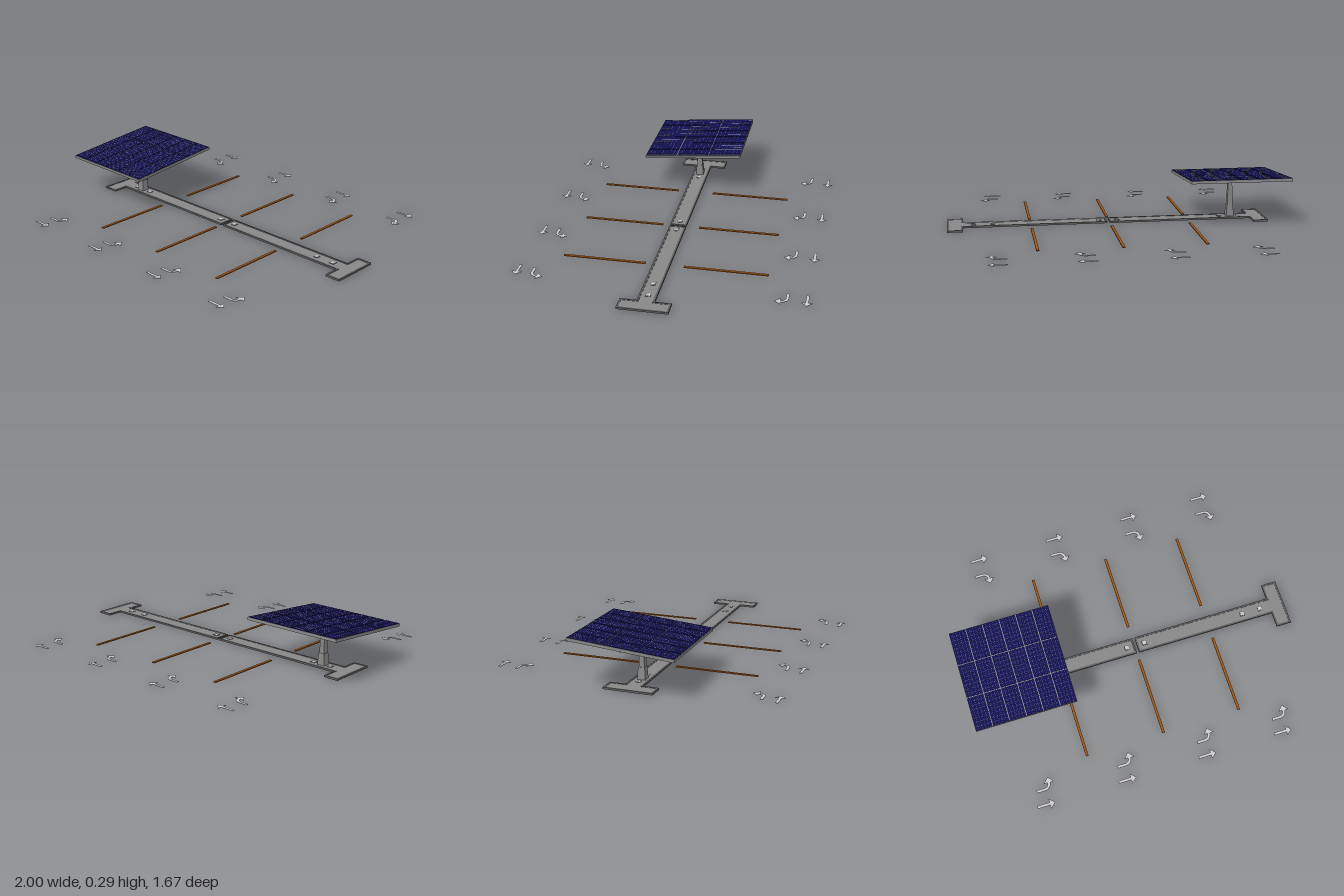
import * as THREE from 'three';
import { mergeGeometries } from 'three/addons/utils/BufferGeometryUtils.js';

const paint = (color) => new THREE.MeshStandardMaterial({ color });
const GREY = paint(0xcccccc), CONCRETE = paint(0x888888), CURB = paint(0x606060);
const BLUE = paint(0x12104e), CELL_LINE = paint(0x8c8c9c), BROWN = paint(0x9a5518);

function add(parent, name, geometry, material) {
  const mesh = new THREE.Mesh(geometry, material);
  mesh.name = name;
  parent.add(mesh);
  return mesh;
}

function box(w, h, d, x, y, z) {
  return new THREE.BoxGeometry(w, h, d).translate(x, y, z);
}

// Flat slab from an outline of [x, z] points, lying on the ground
const toPoints = (pts) => pts.map(([x, z]) => new THREE.Vector2(x, -z));
function slab(pts, height, holePts) {
  const shape = new THREE.Shape(toPoints(pts));
  if (holePts) shape.holes.push(new THREE.Path(toPoints(holePts)));
  return new THREE.ExtrudeGeometry(shape, { depth: height, bevelEnabled: false }).rotateX(-Math.PI / 2);
}

// Square beam between two points
function beam(a, b, w, h) {
  const dir = b.clone().sub(a);
  const g = new THREE.BoxGeometry(w, h, dir.length());
  const m = new THREE.Matrix4().lookAt(b, a, new THREE.Vector3(0, 1, 0));
  const mid = a.clone().add(b).multiplyScalar(0.5);
  return g.applyMatrix4(m.setPosition(mid));
}

// T-shaped outline of half an island, shrunk by an inset; s = 1 right, -1 left
const MID_X = 0.0475, MID_Z = 0.027;
function halfIsland(s, i) {
  const stem = 0.049 - i, bar = 0.141 - i;
  return [[0.007 + i, -stem], [0.861 + i, -stem], [0.861 + i, -bar], [0.9525 - i, -bar],
    [0.9525 - i, bar], [0.861 + i, bar], [0.861 + i, stem], [0.007 + i, stem]]
    .map(([x, z]) => [MID_X + s * x, MID_Z + z]);
}

function makeIsland() {
  const island = new THREE.Group();
  island.name = 'island';
  for (const s of [1, -1]) {
    add(island, 'curb', slab(halfIsland(s, 0), 0.011, halfIsland(s, 0.011)), CURB);
    add(island, 'islandPaving', slab(halfIsland(s, 0.011), 0.009), CONCRETE);
    // Square footings with dark rims
    for (const x of [0.055, 0.685, 0.8]) {
      const cx = MID_X + s * x;
      add(island, 'footingRim', box(0.03, 0.011, 0.03, cx, 0.0055, MID_Z), CURB);
      add(island, 'footing', box(0.022, 0.012, 0.022, cx, 0.006, MID_Z), GREY);
    }
  }
  return island;
}

// Ground arrow pointing along +x, starting at x = 0
const HEAD = 0.03, HALF = 0.008;
function straightArrow() {
  const L = 0.107;
  return slab([[0, -HALF], [L - 0.033, -HALF], [L - 0.033, -HEAD], [L, 0],
    [L - 0.033, HEAD], [L - 0.033, HALF], [0, HALF]], 0.003);
}

// Arrow running along +x, then bending to side s (+1 toward +z); head centred at x = 0.082
function bentArrow(s) {
  const cx = 0.082, bend = 0.032, outer = bend + HALF, inner = bend - HALF;
  const pts = [[0, -HALF]];
  const ox = cx - bend, oz = bend;
  const arc = (r, from, to) => {
    for (let k = 0; k <= 6; k++) {
      const t = (from + (to - from) * k / 6) * Math.PI / 2;
      pts.push([ox + r * Math.sin(t), oz - r * Math.cos(t)]);
    }
  };
  arc(outer, 0, 1);
  pts.push([cx + HEAD, oz + 0.002], [cx, oz + 0.035], [cx - HEAD, oz + 0.002], [cx - HALF, oz + 0.002]);
  arc(inner, 1, 0);
  pts.push([0, HALF]);
  return slab(pts.map(([x, z]) => [x, z * s]), 0.003);
}

function makeArrows() {
  const arrows = new THREE.Group();
  arrows.name = 'groundArrows';
  const place = (name, geometry, x, z) => add(arrows, name, geometry, GREY).position.set(x, 0, z);
  for (const x of [-0.77, -0.28, 0.21, 0.68]) {
    place('straightArrow', straightArrow(), x, -0.808);
    place('turnArrow', bentArrow(1), x, -0.702);
    place('straightArrow', straightArrow(), x - 0.02, 0.8);
    place('turnArrow', bentArrow(-1), x, 0.712);
  }
  return arrows;
}

function makePanel() {
  const panel = new THREE.Group();
  panel.name = 'solarPanel';
  const S = 0.6, cols = 6, rows = 3, w = S / cols, d = S / rows;
  add(panel, 'panelTray', new THREE.BoxGeometry(S, 0.013, S), CONCRETE);
  const modules = [], lines = [], rails = [];
  for (let c = 0; c < cols; c++) {
    for (let r = 0; r < rows; r++) {
      const x = -S / 2 + (c + 0.5) * w, z = -S / 2 + (r + 0.5) * d;
      modules.push(box(w - 0.005, 0.003, d - 0.005, x, 0.007, z));
      // Fine grid between the cells
      for (let k = 1; k < 5; k++) lines.push(box(0.0008, 0.001, d - 0.01, x - w / 2 + k * w / 5, 0.0084, z));
      for (let k = 1; k < 8; k++) lines.push(box(w - 0.01, 0.001, 0.0008, x, 0.0084, z - d / 2 + k * d / 8));
    }
  }
  // Shallow rails under the tray
  for (let c = 0; c <= cols; c++) rails.push(box(0.006, 0.004, S, (c / cols - 0.5) * (S - 0.006), -0.008, 0));
  for (let r = 0; r <= rows; r++) rails.push(box(S, 0.004, 0.006, 0, -0.008, (r / rows - 0.5) * (S - 0.006)));
  add(panel, 'solarModules', mergeGeometries(modules), BLUE);
  add(panel, 'cellLines', mergeGeometries(lines), CELL_LINE);
  add(panel, 'panelRails', mergeGeometries(rails), CONCRETE);
  panel.rotation.x = 0.0867;
  panel.position.set(-0.7, 0.26, 0.027);
  return panel;
}

function makeStand() {
  const stand = new THREE.Group();
  stand.name = 'stand';
  // Tapered square pedestal and mast
  const square = (top, bottom, h, y) => new THREE.CylinderGeometry(top * Math.SQRT1_2, bottom * Math.SQRT1_2, h, 4)
    .rotateY(Math.PI / 4).toNonIndexed().translate(0, y + h / 2, 0);
  const flat = (g) => { g.computeVertexNormals(); return g; };
  add(stand, 'pedestal', flat(square(0.038, 0.048, 0.078, 0)), CONCRETE);
  add(stand, 'mast', flat(square(0.023, 0.032, 0.176, 0.078)), CONCRETE);
  // Four arms in a cross from the mast head to the panel edges
  const hub = new THREE.Vector3(0, 0.222, 0);
  for (const [x, y, z] of [[0.29, 0.25, 0], [-0.29, 0.25, 0], [0, 0.232, 0.29], [0, 0.279, -0.29]]) {
    add(stand, 'panelArm', beam(hub, new THREE.Vector3(x, y, z), 0.014, 0.012), CONCRETE);
  }
  stand.position.set(-0.7, 0, 0.03);
  return stand;
}

export function createModel() {
  const model = new THREE.Group();
  model.name = 'solarParkingArea';
  model.add(makeIsland(), makeArrows(), makePanel(), makeStand());
  // Parking bay lines on both sides of the island
  for (const x of [-0.43, 0.04, 0.51]) {
    add(model, 'bayLine', box(0.016, 0.006, 0.475, x, 0.003, -0.3375), BROWN);
    add(model, 'bayLine', box(0.016, 0.006, 0.475, x, 0.003, 0.3575), BROWN);
  }
  return model;
}
